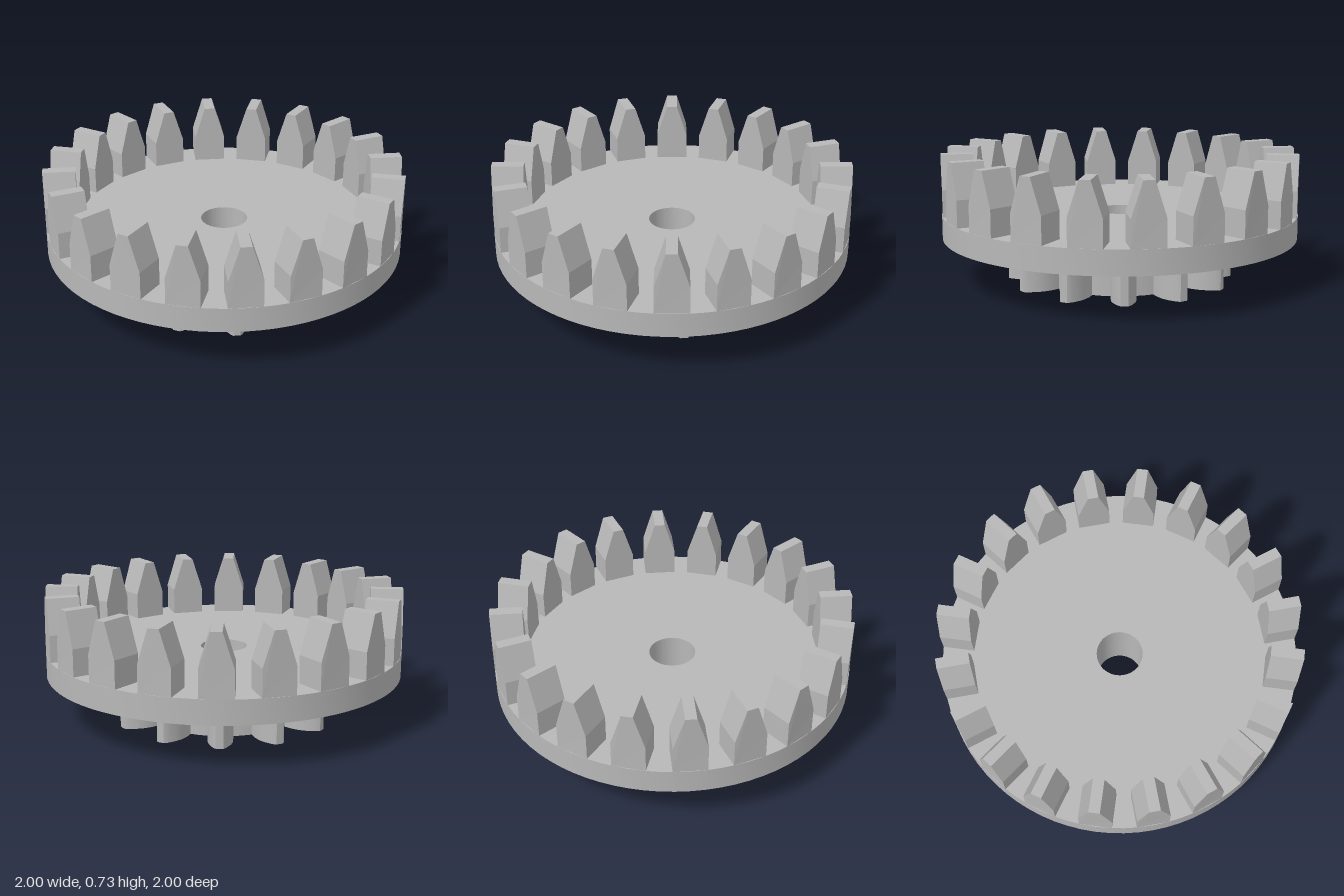
import * as THREE from 'three';
import { toCreasedNormals } from 'three/addons/utils/BufferGeometryUtils.js';

const BORE = 0.13;

// Extrudes a plan outline upward from y0 to y1, with the shaft bore cut through
function plate(shape, y0, y1) {
  const bore = new THREE.Path();
  bore.absarc(0, 0, BORE, 0, Math.PI * 2, true);
  shape.holes.push(bore);
  const geo = new THREE.ExtrudeGeometry(shape, { depth: y1 - y0, bevelEnabled: false, curveSegments: 40 });
  geo.rotateX(-Math.PI / 2);
  geo.translate(0, y0, 0);
  return toCreasedNormals(geo, 0.55);
}

function circle(radius) {
  const shape = new THREE.Shape();
  shape.absarc(0, 0, radius, 0, Math.PI * 2, false);
  return shape;
}

// Spur gear outline: rounded teeth given as [radius, half width] from root to tip
function pinionOutline(count) {
  const flank = [[0.435, 0.06], [0.48, 0.068], [0.53, 0.068], [0.57, 0.058], [0.605, 0.042], [0.625, 0.03], [0.635, 0.02]];
  const tooth = [
    ...flank.map(([r, w]) => [r, -w]),
    ...flank.slice().reverse(),
  ];
  const points = [];
  for (let i = 0; i < count; i++) {
    const a = (i / count) * Math.PI * 2;
    const c = Math.cos(a), s = Math.sin(a);
    for (const [r, w] of tooth) points.push(new THREE.Vector2(r * c - w * s, r * s + w * c));
    // Root arc midpoint between two teeth
    const m = a + Math.PI / count;
    points.push(new THREE.Vector2(Math.cos(m) * 0.44, Math.sin(m) * 0.44));
  }
  return new THREE.Shape(points);
}

// Upright tooth with a tapered top; its outer face follows the disc rim
function crownToothGeometry() {
  const profile = [[-0.09, 0.39], [0.09, 0.39], [0.09, 0.54], [0.03, 0.73], [-0.03, 0.73], [-0.09, 0.54]];
  const shape = new THREE.Shape(profile.map(([x, y]) => new THREE.Vector2(x, y)));
  const geo = new THREE.ExtrudeGeometry(shape, { depth: 0.18, bevelEnabled: false });
  geo.translate(0, 0, 0.82);
  const p = geo.attributes.position;
  for (let i = 0; i < p.count; i++) {
    if (p.getZ(i) > 0.95) p.setZ(i, Math.sqrt(1 - p.getX(i) ** 2));
  }
  geo.computeVertexNormals();
  return geo;
}

export function createModel() {
  const group = new THREE.Group();
  group.name = 'crownGear';
  const grey = new THREE.MeshStandardMaterial({ color: 0xb8b8b8 });
  grey.name = 'grey';

  const add = (name, geometry, parent = group) => {
    const mesh = new THREE.Mesh(geometry, grey);
    mesh.name = name;
    parent.add(mesh);
    return mesh;
  };

  // Stacked body
  add('pinion', plate(pinionOutline(12), 0, 0.23));
  add('hub', plate(circle(0.27), 0.23, 0.255));
  add('disc', plate(circle(1), 0.255, 0.39));

  // Ring of crown teeth
  const teeth = new THREE.Group();
  teeth.name = 'crownTeeth';
  group.add(teeth);
  const toothGeo = crownToothGeometry();
  for (let i = 0; i < 20; i++) {
    add('crownTooth', toothGeo, teeth).rotation.y = (i / 20) * Math.PI * 2;
  }
  return group;
}
